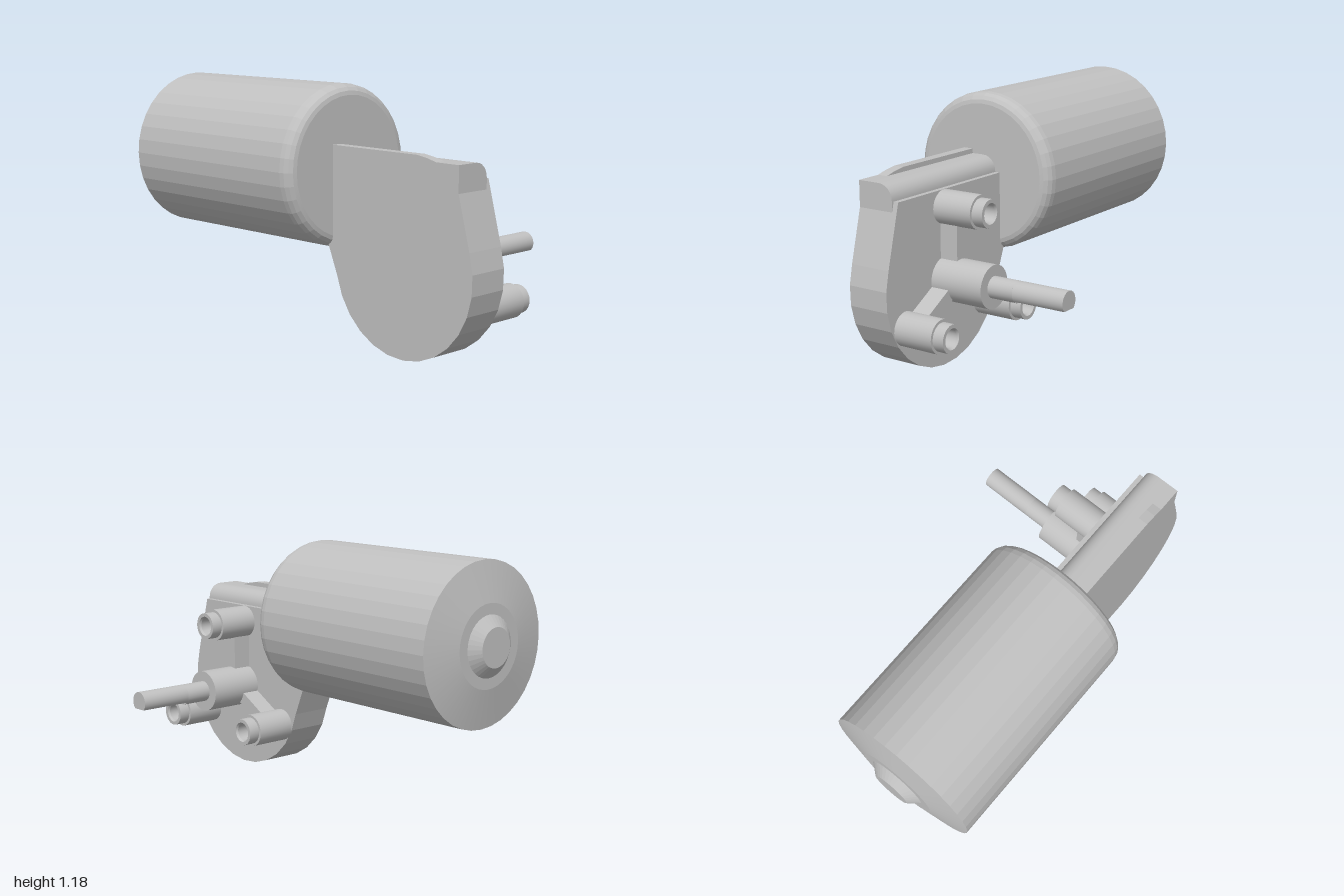
import * as THREE from 'three';
import { toCreasedNormals } from 'three/addons/utils/BufferGeometryUtils.js';

const V = (x, y) => new THREE.Vector2(x, y);

export function createModel() {
  const model = new THREE.Group();
  const metal = new THREE.MeshStandardMaterial({ color: 0xc0c0c0 });
  metal.name = 'greyMetal';

  function add(name, geometry, crease = 0.4) {
    const mesh = new THREE.Mesh(toCreasedNormals(geometry, crease), metal);
    mesh.name = name;
    model.add(mesh);
    return mesh;
  }
  const lathe = (points, sides) => new THREE.LatheGeometry(points.map(p => V(...p)), sides);
  const slab = (points, zBack, zFront) => new THREE.ExtrudeGeometry(
    new THREE.Shape(points), { depth: zFront - zBack, bevelEnabled: false }).translate(0, 0, zBack);

  // Motor can, turned about the x axis: end cap, bearing boss and rounded shoulder
  const can = [[0, -1], [0.09, -1], [0.14, -0.96], [0.19, -0.96], [0.375, -0.925], [0.375, 0.11]];
  for (let i = 1; i <= 4; i++) {
    const a = i / 4 * Math.PI / 2;
    can.push([0.325 + 0.05 * Math.cos(a), 0.11 + 0.06 * Math.sin(a)]);
  }
  can.push([0, 0.17]);
  add('motorCan', lathe(can, 36).rotateZ(-Math.PI / 2).translate(0, 0.805, 0.19), 0.05);

  // Gearbox outline: left flank, round bottom, right flank, then the given top edge
  const cx = 0.592, cy = 0.405, R = 0.405;
  function outline(top) {
    const pts = [V(0.13, 0.48)];
    const start = Math.PI * 1.07, end = Math.PI * 2.1;
    for (let i = 0; i <= 14; i++) {
      const a = start + (end - start) * i / 14;
      pts.push(V(cx + R * Math.cos(a), cy + R * Math.sin(a)));
    }
    pts.push(V(0.915, 0.77), ...top.map(p => V(...p)));
    return pts;
  }
  add('gearboxCover', slab(outline([[0.915, 0.89], [0.79, 0.89], [0.74, 0.903], [0.68, 0.912],
    [0.13, 0.912]]), 0.245, 0.295), 0.05);
  add('gearboxBody', slab(outline([[0.13, 0.77]]), 0.115, 0.245), 0.05);
  add('gearboxBackFlange', slab(outline([[0.903, 0.815], [0.13, 0.815]]), 0.09, 0.115), 0.05);

  // Worm housing along x, with a rounded back upper edge
  const worm = [V(-0.245, 0.77), V(-0.115, 0.77)];
  for (let i = 0; i <= 6; i++) {
    const a = i / 6 * Math.PI / 2;
    worm.push(V(-0.185 + 0.07 * Math.cos(a), 0.82 + 0.07 * Math.sin(a)));
  }
  worm.push(V(-0.245, 0.89));
  add('wormHousing', slab(worm, 0, 0.785).rotateY(Math.PI / 2).translate(0.13, 0, 0));

  // Output bearing boss and three hollow mounting posts joined to it by ribs
  const hub = V(0.59, 0.41);
  add('outputBoss', lathe([[0, 0], [0.1, 0], [0.1, 0.275], [0, 0.275]], 32)
    .rotateX(-Math.PI / 2).translate(hub.x, hub.y, 0.095));
  const post = [[0, 0], [0.078, 0], [0.078, 0.205], [0.065, 0.205], [0.065, 0.26],
    [0.048, 0.26], [0.042, 0.25], [0.042, 0.1], [0, 0.1]];
  for (const [x, y] of [[0.59, 0.737], [0.305, 0.247], [0.873, 0.247]]) {
    add('mountingPost', lathe(post, 24).rotateX(-Math.PI / 2).translate(x, y, 0.095));
    const length = Math.hypot(x - hub.x, y - hub.y);
    const rib = add('postRib', new THREE.BoxGeometry(length, 0.06, 0.1));
    rib.position.set((x + hub.x) / 2, (y + hub.y) / 2, 0.048);
    rib.rotation.z = Math.atan2(y - hub.y, x - hub.x);
  }

  // Output shaft: round near the boss, flattened underneath towards the tip
  add('shaftRoot', lathe([[0, 0], [0.05, 0], [0.05, 0.14], [0, 0.14]], 24)
    .rotateX(-Math.PI / 2).translate(hub.x, hub.y, -0.17));
  const dShape = [];
  for (let i = 0; i <= 20; i++) {
    const a = -0.775 + (Math.PI + 1.55) * i / 20;
    dShape.push(V(hub.x + 0.05 * Math.cos(a), hub.y + 0.05 * Math.sin(a)));
  }
  add('shaftFlattenedEnd', slab(dShape, -0.57, -0.31));

  return model;
}
